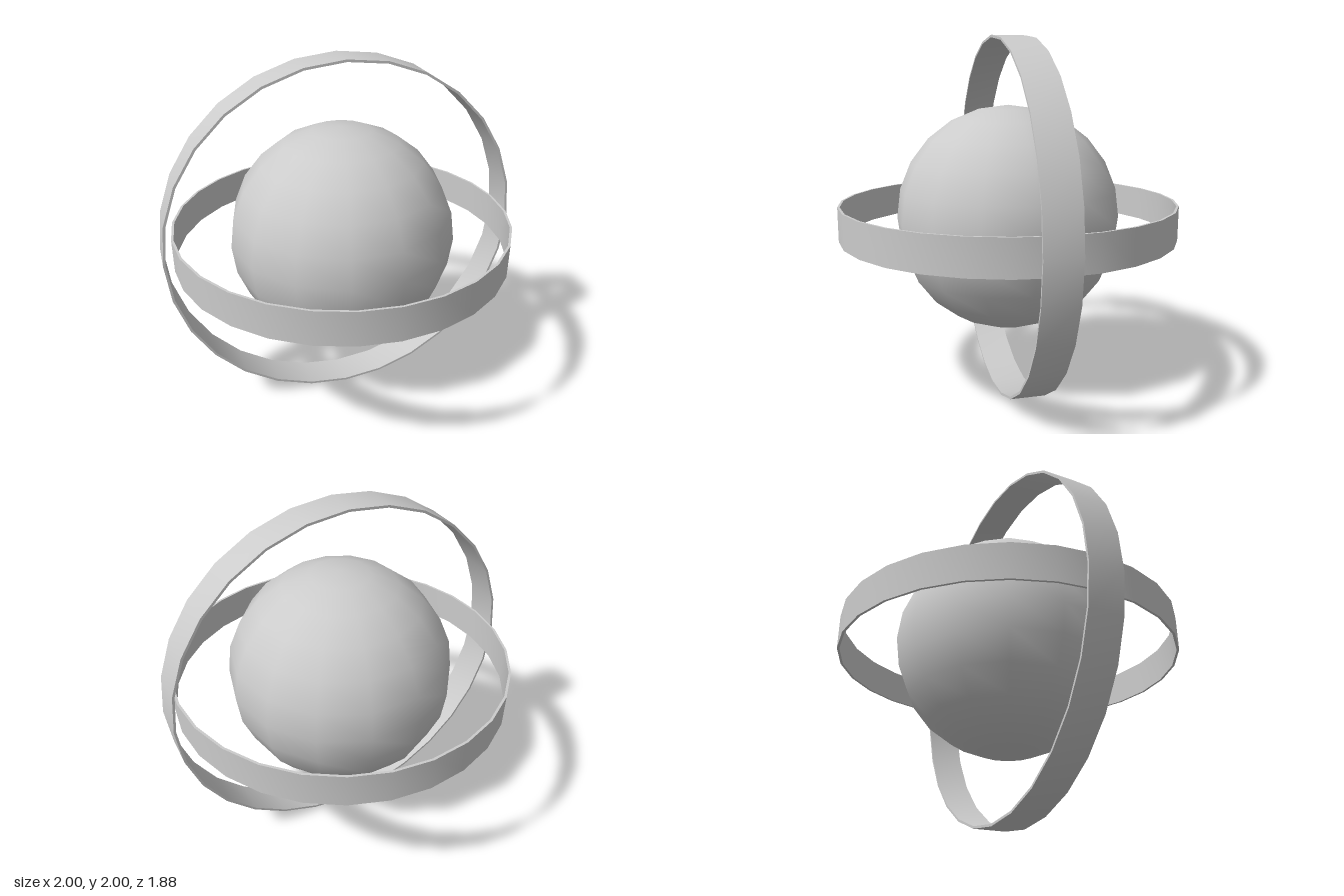
import * as THREE from 'three';
import { toCreasedNormals } from 'three/addons/utils/BufferGeometryUtils.js';

const CENTRE_Y = 1;
const BAND_WIDTH = 0.19;
const BAND_THICKNESS = 0.013;

// Flat hoop around the y axis with a thin rectangular cross-section
function bandGeometry(outer) {
  const inner = outer - BAND_THICKNESS, h = BAND_WIDTH / 2;
  const profile = [[inner, -h], [outer, -h], [outer, h], [inner, h], [inner, -h]]
    .map(([r, y]) => new THREE.Vector2(r, y));
  return toCreasedNormals(new THREE.LatheGeometry(profile, 28), Math.PI / 5);
}

export function createModel() {
  const model = new THREE.Group();
  model.name = 'ringedSphere';
  const material = new THREE.MeshStandardMaterial({ color: 0xcccccc });

  const add = (name, geometry) => {
    const mesh = new THREE.Mesh(geometry, material);
    mesh.name = name;
    mesh.position.y = CENTRE_Y;
    model.add(mesh);
    return mesh;
  };

  // Central ball
  add('sphere', new THREE.SphereGeometry(0.628, 14, 12));

  // Smaller hoop lying flat, larger hoop standing upright facing the front
  add('horizontalRing', bandGeometry(0.94));
  add('verticalRing', bandGeometry(1)).rotation.x = Math.PI / 2;

  return model;
}
